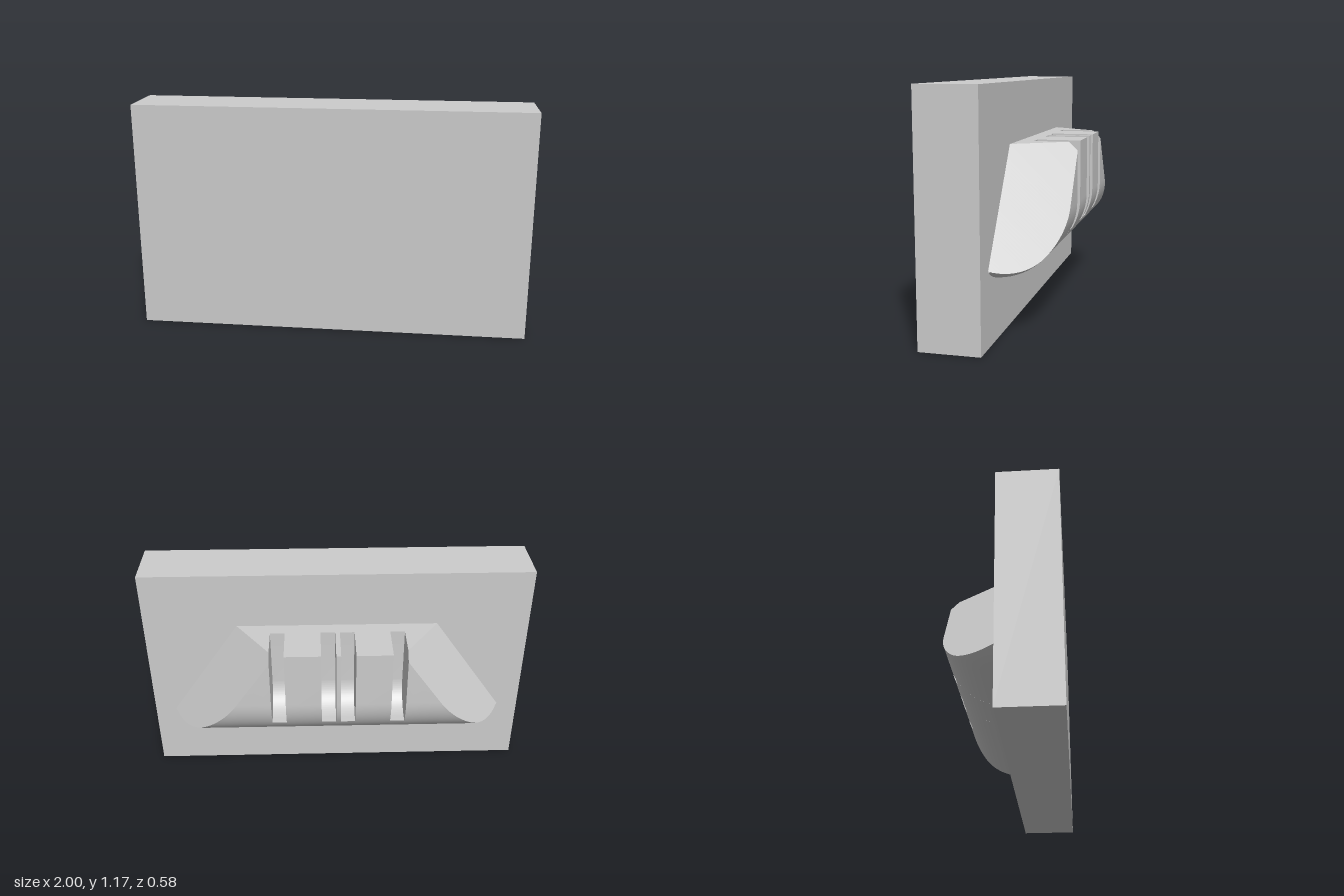
import * as THREE from 'three';
import { toCreasedNormals } from 'three/addons/utils/BufferGeometryUtils.js';

const H = 1.17;            // slab height
const R = H / 4;           // slab depth, also radius of the rounded underside
const CY = 0.583;          // height of the underside's arc centre
const TOP = 0.878;         // top of the ledge
const SLOT_BACK = 0.075, SLOT_FILLET = 0.145;
const SLOT_FLOOR = 0.442;

// Profiles lie in (depth behind the slab, height)
function solidProfile() {
  const s = new THREE.Shape();
  s.moveTo(0, TOP);
  s.lineTo(0, CY - R);
  s.absarc(0, CY, R, -Math.PI / 2, 0, false);
  s.lineTo(R, TOP);
  return s;
}

function slottedProfile() {
  const s = new THREE.Shape();
  s.moveTo(0, TOP);
  s.lineTo(0, CY - R);
  s.absarc(0, CY, R, -Math.PI / 2, -Math.asin((CY - SLOT_FLOOR) / R), false);
  s.lineTo(SLOT_BACK + SLOT_FILLET, SLOT_FLOOR);
  s.absarc(SLOT_BACK + SLOT_FILLET, SLOT_FLOOR + SLOT_FILLET, SLOT_FILLET, -Math.PI / 2, -Math.PI, true);
  s.lineTo(SLOT_BACK, TOP);
  return s;
}

function block(profile, x0, x1) {
  const g = new THREE.ExtrudeGeometry(profile, { depth: x1 - x0, bevelEnabled: false, curveSegments: 20 });
  g.rotateY(Math.PI / 2);
  g.translate(x0, 0, 0);
  return toCreasedNormals(g, 0.5);
}

// Cross-section of the tapered end: cut by a slanting plane, rounded at the tip
const ARC = 18;
function endSection(x) {
  const c = TOP + (0.52 - x) / 0.7;              // plane: height + depth = c
  const r = Math.sqrt(R * R - Math.max(0, x - (1 - R)) ** 2);
  const top = Math.min(TOP, c);
  const k = THREE.MathUtils.clamp((c - CY) / r, -1, 1);
  const start = Math.acos(k / Math.SQRT2) - Math.PI / 4;
  const pts = [[0, top], [Math.max(0, c - TOP), top]];
  pts.push(c - CY > r ? [r, c - r] : [r * Math.cos(start), CY - r * Math.sin(start)]);
  for (let i = 0; i <= ARC; i++) {
    const t = start + (Math.PI / 2 - start) * i / ARC;
    pts.push([r * Math.cos(t), CY - r * Math.sin(t)]);
  }
  return pts.map(([d, y]) => [x, y, -d]);
}

function endGeometry(x0) {
  const xs = [x0, 0.43];
  for (let i = 0; i <= 36; i++) xs.push(0.52 + 0.37 * i / 36);
  const rings = xs.map(endSection);
  const n = rings[0].length;
  const pos = rings.flat(2), idx = [];
  for (let i = 0; i < xs.length - 1; i++) {
    for (let j = 0; j < n - 1; j++) {
      const a = i * n + j, b = a + 1, c = a + n, d = c + 1;
      idx.push(a, c, b, b, c, d);
    }
  }
  for (let j = 1; j < n - 1; j++) idx.push(0, j, j + 1);   // wall beside the slot
  const g = new THREE.BufferGeometry();
  g.setAttribute('position', new THREE.Float32BufferAttribute(pos, 3));
  g.setIndex(idx);
  return toCreasedNormals(g, 0.5);
}

export function createModel() {
  const group = new THREE.Group();
  const material = new THREE.MeshStandardMaterial({ color: 0xcccccc });
  const add = (name, geometry, parent = group) => {
    const mesh = new THREE.Mesh(geometry, material);
    mesh.name = name;
    parent.add(mesh);
    return mesh;
  };

  // Backing slab
  const slab = add('slab', new THREE.BoxGeometry(2, H, R));
  slab.position.set(0, H / 2, R / 2);

  // Ledge: solid ribs alternating with slots
  const ledge = new THREE.Group();
  ledge.name = 'ledge';
  group.add(ledge);
  const stops = [-0.345, -0.27, -0.087, -0.012, 0.012, 0.087, 0.27, 0.345];
  for (let i = 0; i < stops.length - 1; i++) {
    const slotted = i % 2 === 0;
    add(slotted ? 'slot' : 'rib', block(slotted ? slottedProfile() : solidProfile(), stops[i], stops[i + 1]), ledge);
  }

  // Tapered ends, mirrored
  const end = endGeometry(0.345);
  add('leftEnd', end, ledge);
  add('rightEnd', end, ledge).scale.x = -1;

  return group;
}
